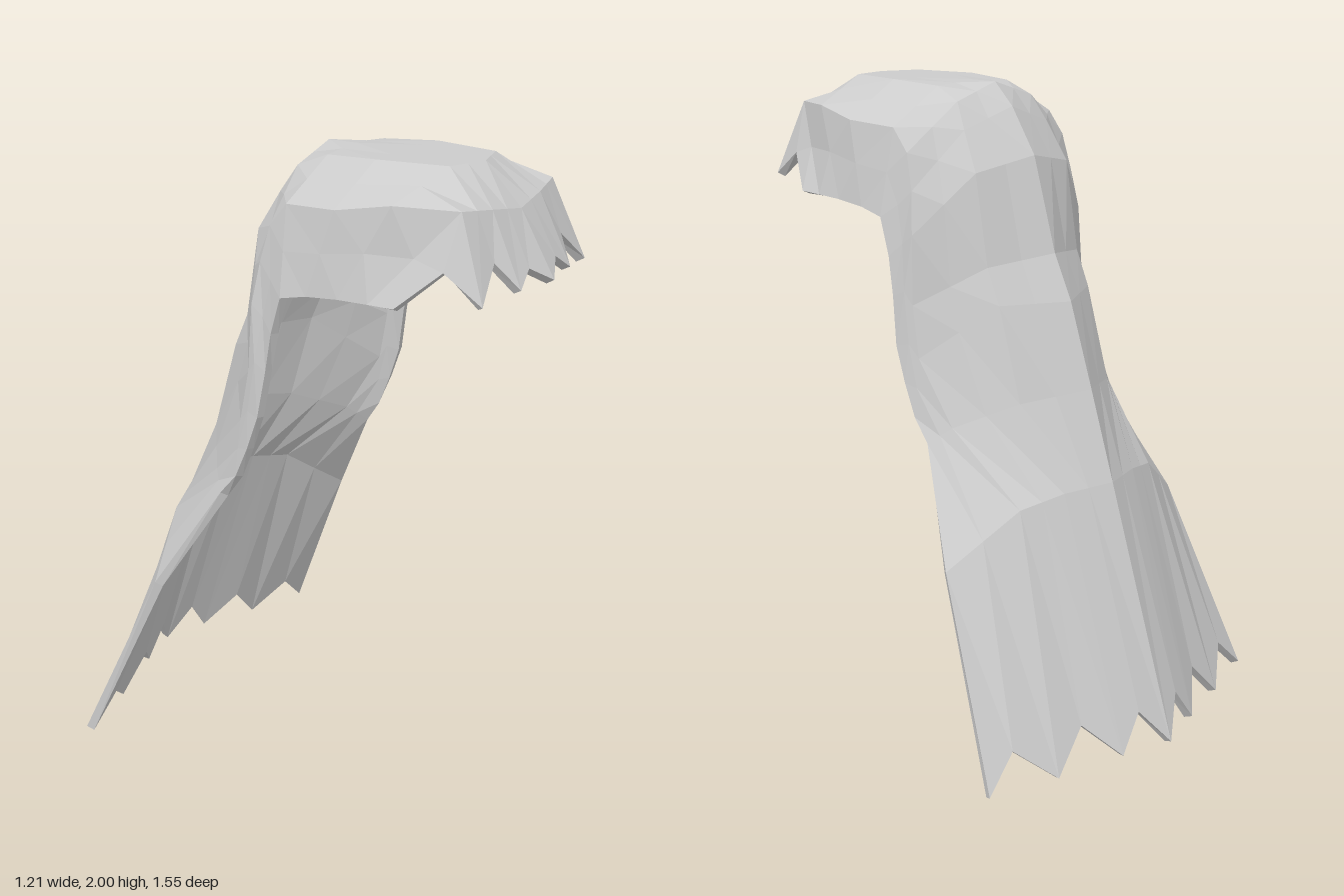
import * as THREE from 'three';

const COLS = 6;          // columns from the centre line to the side edge
const THICKNESS = 0.028;

// Toothed front edge of the hood, centre to side
const brim = [
  [0, 1.69, 0.775], [0.08, 1.735, 0.735], [0.15, 1.69, 0.75], [0.2, 1.77, 0.69],
  [0.31, 1.675, 0.72], [0.32, 1.755, 0.6], [0.387, 1.65, 0.485],
];

// Toothed bottom edge of the cape, centre to side
const hem = [
  [0, 0.03, -0.78], [0.09, 0.145, -0.72], [0.17, 0.03, -0.73], [0.27, 0.14, -0.645],
  [0.385, 0.015, -0.662], [0.5, 0.12, -0.58], [0.607, 0.015, -0.592],
];

// Half cross-sections from brim to hem: centre, inner, outer, side edge
const sections = [
  [[0, 1.88, 0.66], [0.14, 1.9, 0.645], [0.265, 1.915, 0.62], [0.387, 1.648, 0.4]],
  [[0, 2, 0.54], [0.13, 2, 0.5], [0.335, 1.92, 0.44], [0.388, 1.645, 0.3]],
  [[0, 2, 0.28], [0.17, 2, 0.28], [0.36, 1.89, 0.27], [0.389, 1.635, 0.19]],
  [[0, 2, 0.1], [0.15, 1.99, 0.1], [0.34, 1.88, 0.09], [0.39, 1.615, 0.1]],
  [[0, 2, 0], [0.16, 1.95, 0], [0.34, 1.81, 0.03], [0.39, 1.5, 0.065]],
  [[0, 1.93, -0.075], [0.18, 1.87, -0.05], [0.35, 1.7, 0], [0.393, 1.38, 0.045]],
  [[0, 1.79, -0.17], [0.2, 1.75, -0.12], [0.37, 1.57, -0.02], [0.405, 1.23, 0.02]],
  [[0, 1.5, -0.26], [0.2, 1.47, -0.17], [0.38, 1.36, -0.03], [0.408, 1.12, -0.02]],
  [[0, 1.36, -0.33], [0.2, 1.36, -0.22], [0.385, 1.2, -0.06], [0.41, 1.02, -0.065]],
  [[0, 1.1, -0.42], [0.2, 1.07, -0.31], [0.36, 1, -0.18], [0.413, 0.95, -0.125]],
  [[0, 0.82, -0.515], [0.16, 0.81, -0.46], [0.3, 0.78, -0.41], [0.522, 0.62, -0.32]],
];

const toVectors = (list) => list.map((p) => new THREE.Vector3(...p));

// Adds the midpoint between neighbouring points of a half section
function fillSection(section) {
  const points = toVectors(section);
  return points.flatMap((p, k) => (k ? [points[k - 1].clone().lerp(p, 0.5), p] : [p]));
}

// Mirrors a half row into a full row running from -x to +x
function mirrorRow(half) {
  const other = half.slice(1).reverse().map((p) => new THREE.Vector3(-p.x, p.y, p.z));
  return [...other, ...half];
}

function shellGeometry(rows) {
  const n = rows.length;
  const m = rows[0].length;
  const id = (i, j) => i * m + j;
  const outer = [];
  for (let i = 0; i < n - 1; i++) {
    for (let j = 0; j < m - 1; j++) {
      const a = id(i, j), b = id(i, j + 1), c = id(i + 1, j + 1), d = id(i + 1, j);
      // diagonals mirror about the centre line
      if (j < COLS) outer.push(a, b, c, a, c, d);
      else outer.push(a, b, d, b, c, d);
    }
  }

  // Outer surface, used to find the directions for the lining
  const points = rows.flat();
  const skin = new THREE.BufferGeometry().setFromPoints(points);
  skin.setIndex(outer);
  skin.computeVertexNormals();
  const normals = skin.attributes.normal;
  const lining = points.map((p, k) => p.clone().addScaledVector(
    new THREE.Vector3().fromBufferAttribute(normals, k), -THICKNESS));

  // Lining faces are the outer ones turned over
  const total = points.length;
  const index = [...outer];
  for (let k = 0; k < outer.length; k += 3) {
    index.push(outer[k] + total, outer[k + 2] + total, outer[k + 1] + total);
  }

  // Rim around the whole border joins the two surfaces
  const border = [];
  for (let j = 0; j < m - 1; j++) border.push(id(0, j));
  for (let i = 0; i < n - 1; i++) border.push(id(i, m - 1));
  for (let j = m - 1; j > 0; j--) border.push(id(n - 1, j));
  for (let i = n - 1; i > 0; i--) border.push(id(i, 0));
  border.forEach((p, k) => {
    const q = border[(k + 1) % border.length];
    // border runs against the outer faces, so this order faces outwards
    index.push(p, q, p + total, q, q + total, p + total);
  });

  const shell = new THREE.BufferGeometry().setFromPoints([...points, ...lining]);
  shell.setIndex(index);
  const flat = shell.toNonIndexed();
  flat.computeVertexNormals();
  return flat;
}

export function createModel() {
  const group = new THREE.Group();
  group.name = 'hoodedCape';

  const rows = [toVectors(brim), ...sections.map(fillSection), toVectors(hem)].map(mirrorRow);
  const material = new THREE.MeshStandardMaterial({
    color: 0xcccccc, flatShading: true, side: THREE.DoubleSide,
  });
  const cape = new THREE.Mesh(shellGeometry(rows), material);
  cape.name = 'hoodAndCape';
  group.add(cape);

  // Stand the hem on the ground
  cape.geometry.computeBoundingBox();
  cape.position.y = -cape.geometry.boundingBox.min.y;
  return group;
}
